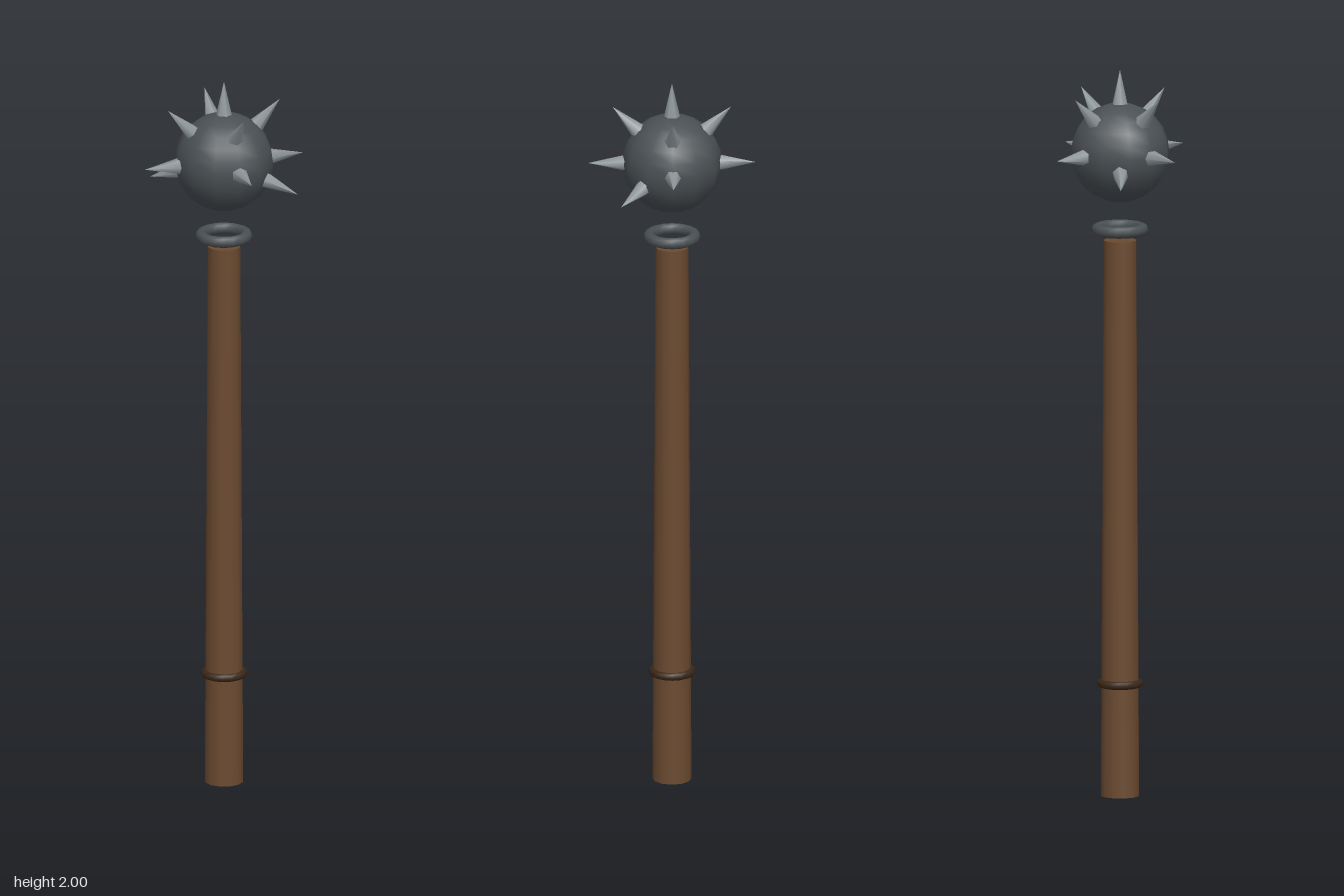
import * as THREE from 'three';

const BALL_Y = 1.772, BALL_R = 0.136, SPIKE_TIP = 0.228, SPIKE_BASE = 0.125;

export function createModel() {
  const model = new THREE.Group();
  model.name = 'spikedMace';

  const material = (color) => new THREE.MeshStandardMaterial({ color });
  const wood = material(0x6b4a30);
  const band = material(0x3a2618);
  const iron = material(0x4a5054);
  const steel = material(0x8f979b);

  const add = (name, geometry, mat, y, parent = model) => {
    const mesh = new THREE.Mesh(geometry, mat);
    mesh.name = name;
    mesh.position.y = y;
    parent.add(mesh);
    return mesh;
  };

  // Tapered wooden handle
  add('handle', new THREE.CylinderGeometry(0.045, 0.053, 1.53, 12), wood, 0.765);

  // Grip band and the loose ring above the handle
  const ring = (radius, tube) => new THREE.TorusGeometry(radius, tube, 8, 16).rotateX(Math.PI / 2);
  add('gripBand', ring(0.053, 0.011), band, 0.31);
  add('topRing', ring(0.062, 0.016), iron, 1.56);

  // Spiked head
  const head = new THREE.Group();
  head.name = 'head';
  head.position.y = BALL_Y;
  model.add(head);
  add('ball', new THREE.SphereGeometry(BALL_R, 12, 12), iron, 0, head);

  // Spike directions: crown, four level, four raised, two lowered
  const directions = [[0, 1, 0], [0.7, -0.3, 0.6], [-0.7, -0.3, -0.6]];
  for (const [x, z] of [[1, 0], [-1, 0], [0, 1], [0, -1]]) {
    directions.push([x, 0, z], [x, 1, z]);
  }

  const length = SPIKE_TIP - SPIKE_BASE;
  const spikeGeometry = new THREE.ConeGeometry(0.0235, length, 6);
  spikeGeometry.translate(0, SPIKE_BASE + length / 2, 0);
  const up = new THREE.Vector3(0, 1, 0);
  directions.forEach((d, i) => {
    const spike = add(`spike${i + 1}`, spikeGeometry, steel, 0, head);
    spike.quaternion.setFromUnitVectors(up, new THREE.Vector3(...d).normalize());
  });

  return model;
}
